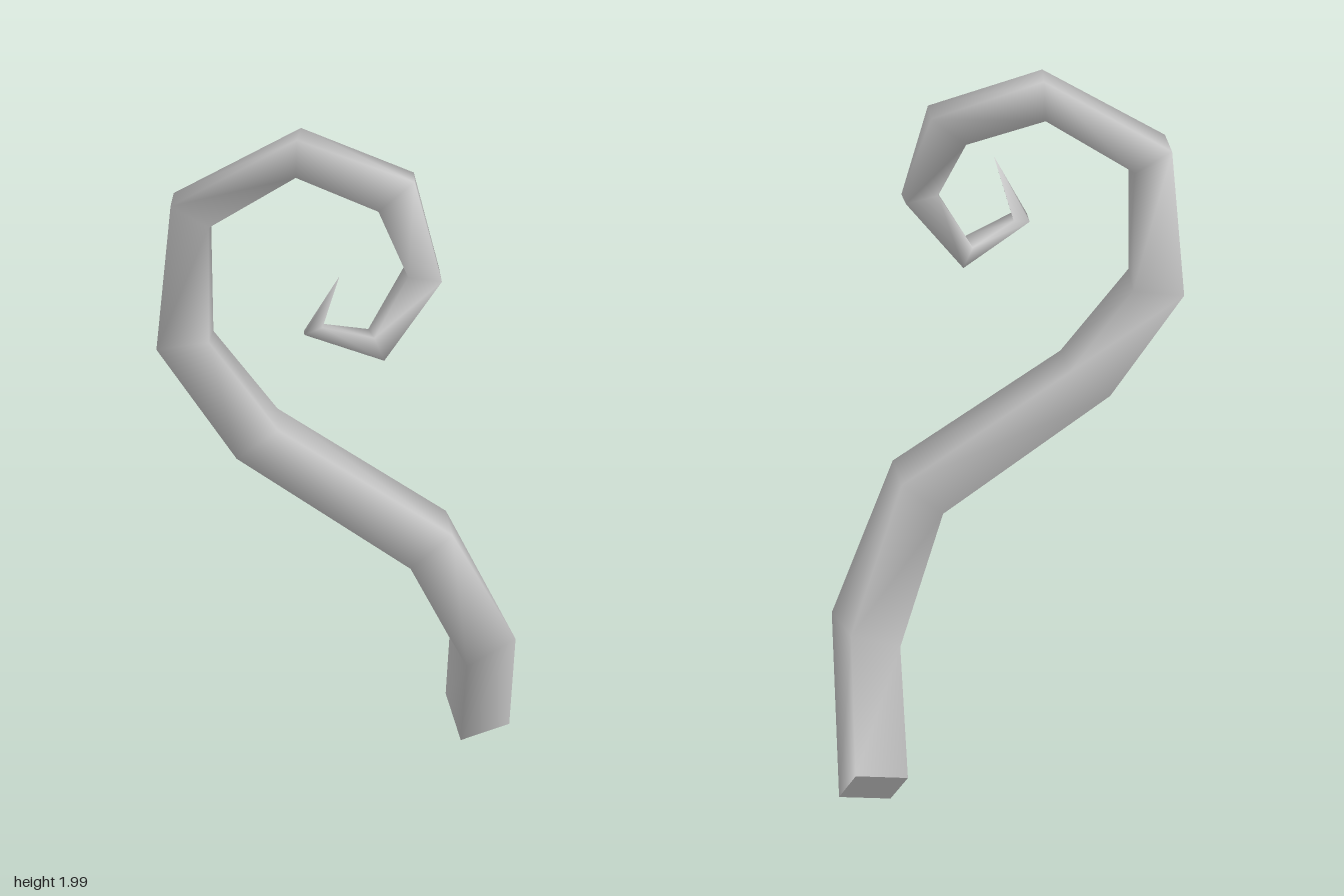
import * as THREE from 'three';

// Cross-sections from root to end: outer corner, inner corner, and the vector across to the back pair.
const RINGS = [
  [[0.36, 0.01, -0.07], [0.5, 0.05, -0.03], [-0.01, 0.12, -0.08]],
  [[0.25, 0.43, 0.15], [0.385, 0.5, 0.18], [0.02, 0.01, -0.14]],
  [[0.065, 0.8, 0.16], [0.165, 0.9, 0.205], [0.047, 0, -0.125]],
  [[-0.34, 1.13, -0.045], [-0.24, 1.21, 0], [0.05, 0, -0.115]],
  [[-0.505, 1.43, -0.155], [-0.385, 1.45, -0.095], [0.05, -0.015, -0.09]],
  [[-0.46, 1.82, -0.13], [-0.38, 1.765, -0.085], [0.045, -0.005, -0.09]],
  [[-0.19, 2, 0.03], [-0.19, 1.9, 0.02], [0.045, 0, -0.073]],
  [[0.05, 1.905, 0.185], [-0.03, 1.83, 0.15], [0.034, -0.005, -0.07]],
  [[0.1, 1.655, 0.24], [0.022, 1.67, 0.21], [0.028, 0.005, -0.068]],
  [[-0.04, 1.455, 0.205], [-0.06, 1.515, 0.19], [0.014, -0.004, -0.062]],
  [[-0.237, 1.548, 0.16], [-0.19, 1.56, 0.165], [0.015, -0.007, -0.035]],
];
const TIP = [-0.165, 1.71, 0.21];

const add = (a, b) => a.map((v, i) => v + b[i]);
const corners = ([outer, inner, across]) => [outer, inner, add(inner, across), add(outer, across)];

function buildGeometry(points, index) {
  const geometry = new THREE.BufferGeometry();
  geometry.setAttribute('position', new THREE.Float32BufferAttribute(points.flat(), 3));
  geometry.setIndex(index);
  geometry.computeVertexNormals();
  return geometry;
}

export function createModel() {
  const group = new THREE.Group();
  group.name = 'curledTentacle';
  const material = new THREE.MeshStandardMaterial({ color: 0xcccccc });
  const addPart = (name, geometry) => {
    const mesh = new THREE.Mesh(geometry, material);
    mesh.name = name;
    group.add(mesh);
  };

  // Four-sided tapering arm, smooth shaded, closing in a single point
  const points = [...RINGS.flatMap(corners), TIP];
  const tip = points.length - 1;
  const index = [];
  for (let r = 0; r < RINGS.length; r++) {
    for (let s = 0; s < 4; s++) {
      const a = r * 4 + s;
      const b = r * 4 + (s + 1) % 4;
      if (r === RINGS.length - 1) index.push(a, b, tip);
      else index.push(a, b, b + 4, a, b + 4, a + 4);
    }
  }
  addPart('arm', buildGeometry(points, index));

  // Flat cap closing the root
  addPart('rootCap', buildGeometry(corners(RINGS[0]), [0, 3, 2, 0, 2, 1]));

  return group;
}
